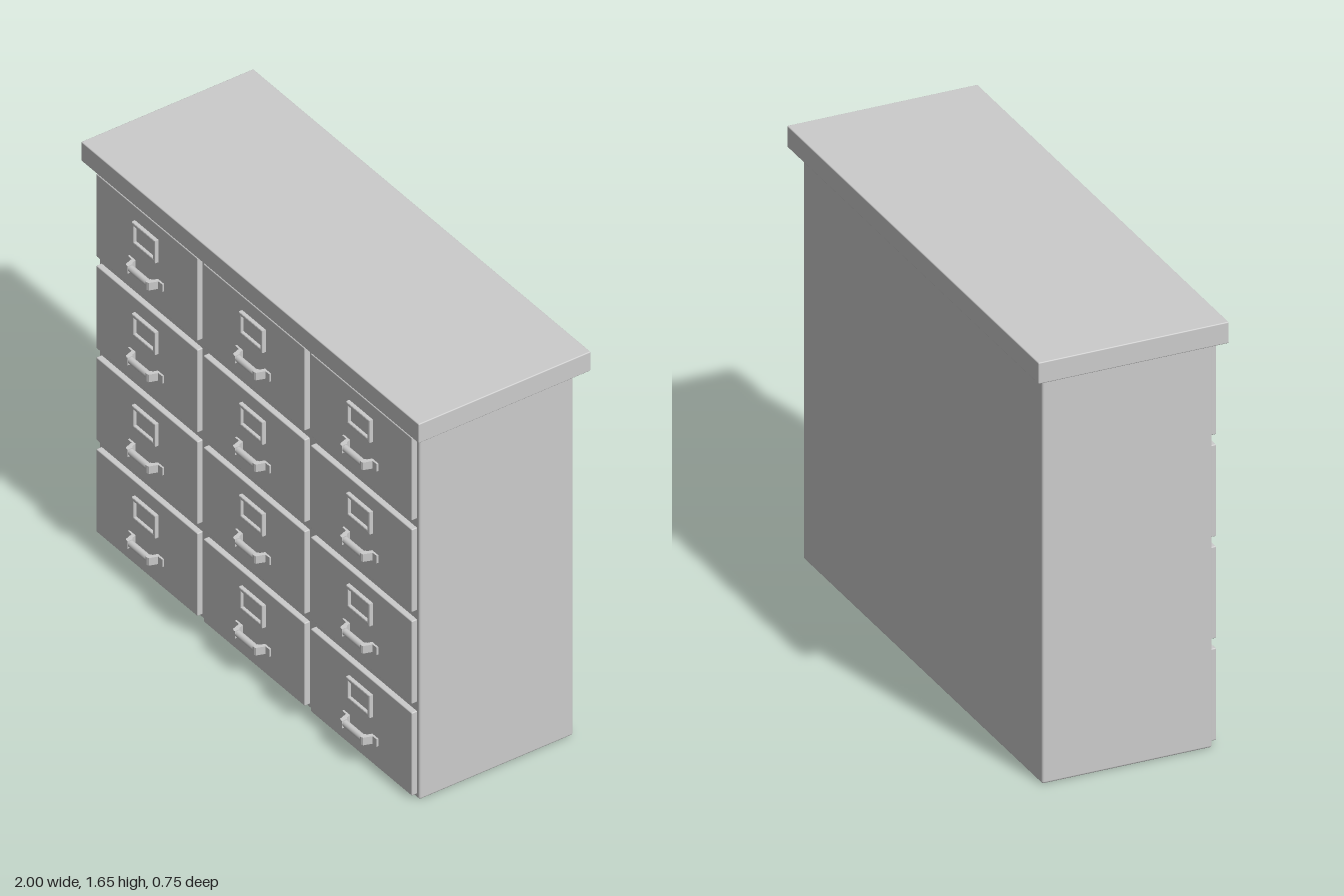
import * as THREE from 'three';
import { RoundedBoxGeometry } from 'three/addons/geometries/RoundedBoxGeometry.js';

const material = new THREE.MeshStandardMaterial({ color: 0xcccccc });

function addMesh(parent, name, geometry, x = 0, y = 0, z = 0) {
  const mesh = new THREE.Mesh(geometry, material);
  mesh.name = name;
  mesh.position.set(x, y, z);
  parent.add(mesh);
  return mesh;
}

// Closed rectangle outline, usable as a shape or as a hole
function rectangle(Type, w, h) {
  const points = [[-w, -h], [w, -h], [w, h], [-w, h]];
  return new Type(points.map(([x, y]) => new THREE.Vector2(x / 2, y / 2)));
}

// Label holder: a bevelled frame with a hole for the card
function labelFrameGeometry() {
  const shape = rectangle(THREE.Shape, 0.132, 0.087);
  shape.holes.push(rectangle(THREE.Path, 0.122, 0.075));
  return new THREE.ExtrudeGeometry(shape, {
    depth: 0.016, bevelEnabled: true, bevelSize: 0.004, bevelThickness: 0.003, bevelSegments: 2,
  });
}

// Handle bracket: a flat foot that bends outward to carry the grip (side = +1 or -1)
function bracketGeometry(side) {
  const profile = [[0.102, 0], [0.102, 0.007], [0.079, 0.008], [0.068, 0.04],
    [0.06, 0.043], [0.053, 0.043], [0.053, 0.022], [0.06, 0.018], [0.066, 0]];
  const shape = new THREE.Shape(profile.map(([x, z]) => new THREE.Vector2(side * x, -z)));
  const geometry = new THREE.ExtrudeGeometry(shape, { depth: 0.032, bevelEnabled: false });
  return geometry.translate(0, 0, -0.016).rotateX(-Math.PI / 2);
}

const FRONT = 0.333; // front plane of the drawers
const drawerGeometry = new RoundedBoxGeometry(0.6, 0.354, 0.04, 2, 0.004);
const frameGeometry = labelFrameGeometry();
const cardGeometry = new THREE.BoxGeometry(0.124, 0.077, 0.006);
const gripGeometry = new THREE.CylinderGeometry(0.013, 0.013, 0.12, 16).rotateZ(Math.PI / 2);
const brackets = [-1, 1].map(bracketGeometry);

function createDrawer() {
  const drawer = new THREE.Group();
  addMesh(drawer, 'drawerFront', drawerGeometry, 0, 0, FRONT - 0.02);
  addMesh(drawer, 'labelFrame', frameGeometry, 0, 0.07, FRONT - 0.004);
  addMesh(drawer, 'labelCard', cardGeometry, 0, 0.07, FRONT);

  const handle = new THREE.Group();
  handle.name = 'handle';
  handle.position.set(0, -0.067, FRONT);
  addMesh(handle, 'grip', gripGeometry, 0, 0, 0.029);
  brackets.forEach((geometry) => addMesh(handle, 'bracket', geometry));
  drawer.add(handle);
  return drawer;
}

export function createModel() {
  const model = new THREE.Group();
  model.name = 'drawerCabinet';

  // Carcass and overhanging top
  addMesh(model, 'carcass', new RoundedBoxGeometry(1.9, 1.58, 0.648, 2, 0.008), 0, 0.79, -0.013);
  addMesh(model, 'topBoard', new RoundedBoxGeometry(2, 0.082, 0.725, 2, 0.004), 0, 1.611, -0.0125);

  // Four rows of three drawers
  for (let row = 0; row < 4; row++) {
    for (let column = 0; column < 3; column++) {
      const drawer = createDrawer();
      drawer.name = `drawerRow${row + 1}Column${column + 1}`;
      drawer.position.set((column - 1) * 0.635, 0.194 + row * 0.392, 0);
      model.add(drawer);
    }
  }
  return model;
}
